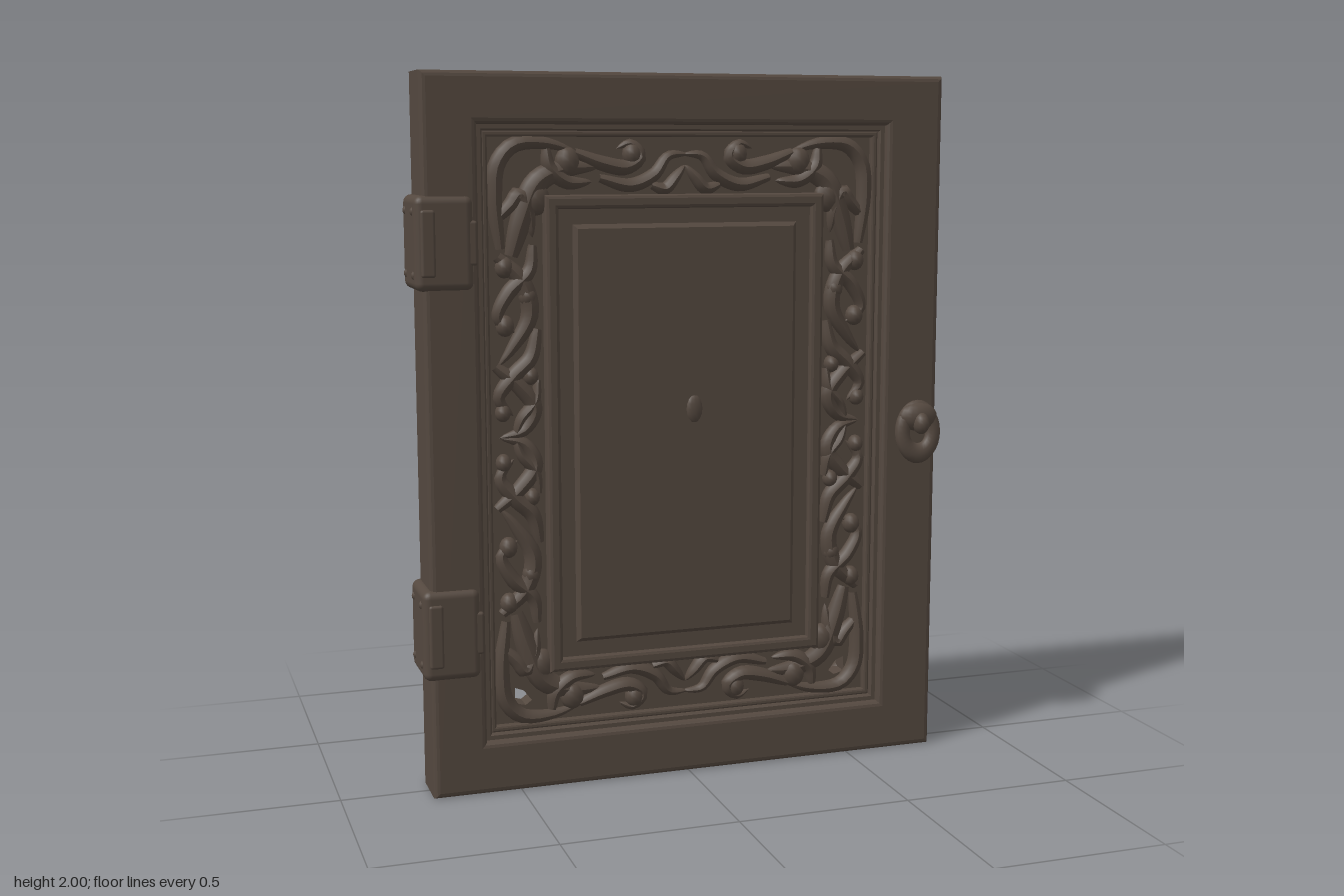
import * as THREE from 'three';
import { RoundedBoxGeometry } from 'three/addons/geometries/RoundedBoxGeometry.js';

const darkWood = new THREE.MeshStandardMaterial({ color: 0x54483f });
darkWood.name = 'dark wood';

const MID = 1.005; // height of the carved field's centre

function add(parent, name, geometry, x = 0, y = 0, z = 0) {
  const mesh = new THREE.Mesh(geometry, darkWood);
  mesh.name = name;
  mesh.position.set(x, y, z);
  parent.add(mesh);
  return mesh;
}

function trace(path, x0, y0, x1, y1) {
  path.moveTo(x0, y0);
  path.lineTo(x1, y0);
  path.lineTo(x1, y1);
  path.lineTo(x0, y1);
  path.closePath();
  return path;
}

// Rectangular slab or ring centred on z = 0, with bevelled edges
function slab(outer, holes, halfDepth, bevel, segments = 1) {
  const shape = trace(new THREE.Shape(), ...outer);
  shape.holes.push(...holes);
  const geo = new THREE.ExtrudeGeometry(shape, {
    depth: 2 * (halfDepth - bevel), bevelEnabled: bevel > 0, bevelThickness: bevel,
    bevelSize: bevel, bevelOffset: -bevel, bevelSegments: segments, curveSegments: 10,
  });
  return geo.translate(0, 0, -(halfDepth - bevel));
}

function ring(outer, inner, halfDepth, bevel, segments) {
  return slab(outer, [trace(new THREE.Path(), ...inner)], halfDepth, bevel, segments);
}

// Tapered, flattened strand that follows a curve in the xy plane
function strand(points, width, depth, rootTaper) {
  const curve = new THREE.CatmullRomCurve3(points.map(([x, y]) => new THREE.Vector3(x, y, 0)));
  const steps = 22, sides = 8;
  const geo = new THREE.TubeGeometry(curve, steps, width, sides, false);
  const pos = geo.attributes.position;
  const centre = new THREE.Vector3(), v = new THREE.Vector3();
  for (let i = 0; i <= steps; i++) {
    const t = i / steps;
    const k = Math.max(0.02, Math.pow(Math.sin(Math.PI * (rootTaper + t * (1 - rootTaper))), 0.6));
    curve.getPointAt(t, centre);
    for (let j = 0; j <= sides; j++) {
      const n = i * (sides + 1) + j;
      v.fromBufferAttribute(pos, n).sub(centre).multiplyScalar(k).add(centre);
      pos.setXYZ(n, v.x, v.y, v.z * depth / width);
    }
  }
  geo.computeVertexNormals();
  return geo;
}

// Carving for one quarter, measured from the centre: [half width, points]
const strands = [
  // corner leaves
  [0.024, [[0.53, 0.52], [0.545, 0.66], [0.535, 0.75], [0.49, 0.8], [0.4, 0.805], [0.31, 0.78]]],
  [0.034, [[0.5, 0.5], [0.47, 0.6], [0.425, 0.7], [0.35, 0.735], [0.25, 0.74]]],
  [0.022, [[0.54, 0.6], [0.5, 0.64], [0.475, 0.67], [0.45, 0.62], [0.44, 0.55]]],
  [0.022, [[0.4, 0.79], [0.39, 0.74], [0.34, 0.7], [0.27, 0.7]]],
  // scrolls of the top and bottom rails
  [0.022, [[0.32, 0.78], [0.24, 0.75], [0.17, 0.74], [0.13, 0.77], [0.16, 0.805], [0.2, 0.79]]],
  [0.02, [[0.25, 0.71], [0.16, 0.69], [0.09, 0.72], [0.05, 0.77], [-0.01, 0.775]]],
  [0.018, [[0.1, 0.69], [0.06, 0.68], [0.03, 0.71], [0, 0.745]]],
  // twining stems of the sides
  [0.026, [[0.54, 0.5], [0.47, 0.43], [0.45, 0.34], [0.5, 0.25], [0.54, 0.2]]],
  [0.022, [[0.44, 0.53], [0.45, 0.46], [0.51, 0.4], [0.54, 0.33], [0.49, 0.29]]],
  [0.024, [[0.43, 0.3], [0.45, 0.22], [0.5, 0.17], [0.54, 0.11], [0.5, 0.06]]],
  [0.024, [[0.55, 0.2], [0.48, 0.14], [0.44, 0.08], [0.47, 0.02], [0.54, 0]]],
  [0.016, [[0.43, 0.16], [0.44, 0.1], [0.48, 0.05], [0.5, -0.01]]],
];
// Rounded buds: [x, y, radius]
const buds = [
  [0.43, 0.655, 0.04], [0.34, 0.755, 0.035], [0.155, 0.775, 0.028], [0.52, 0.47, 0.026],
  [0.455, 0.39, 0.026], [0.52, 0.31, 0.026], [0.45, 0.17, 0.022], [0.53, 0.07, 0.022],
];

function carving() {
  const group = new THREE.Group();
  group.name = 'carvedScrollwork';
  for (const side of [1, -1]) for (const sx of [1, -1]) for (const sy of [1, -1]) {
    for (const [width, pts] of strands) {
      const mirrored = pts.map(([x, y]) => [sx * x, MID + sy * y]);
      add(group, 'carvedLeaf', strand(mirrored, width, 0.026, 0.12), 0, 0, side * 0.036);
    }
    for (const [x, y, r] of buds) {
      const bud = new THREE.SphereGeometry(r, 12, 8).scale(1, 1.15, 0.028 / r);
      add(group, 'carvedBud', bud, sx * x, MID + sy * y, side * 0.036);
    }
  }
  return group;
}

function hinge(y) {
  const group = new THREE.Group();
  group.name = 'hinge';
  group.position.set(-0.6925, y, 0);
  add(group, 'hingeWrap', new RoundedBoxGeometry(0.16, 0.255, 0.19, 3, 0.022));
  for (const side of [1, -1]) {
    add(group, 'hingePlate', new RoundedBoxGeometry(0.04, 0.18, 0.02, 2, 0.008), -0.045, 0, side * 0.091);
    add(group, 'hingeTab', new RoundedBoxGeometry(0.04, 0.12, 0.02, 2, 0.008), 0.07, 0, side * 0.082);
    for (const end of [1, -1]) {
      add(group, 'hingeRivet', new THREE.SphereGeometry(0.014, 10, 8), -0.072, end * 0.085, side * 0.055);
    }
  }
  return group;
}

function handle(side) {
  const group = new THREE.Group();
  group.name = 'ringHandle';
  group.position.set(0.69, 0.975, side * 0.125);
  const pull = add(group, 'handleRing', new THREE.TorusGeometry(0.049, 0.023, 10, 28).scale(1, 1.3, 0.85));
  pull.rotation.x = -side * 0.06;
  add(group, 'handleBoss', new THREE.SphereGeometry(1, 18, 12).scale(0.06, 0.042, 0.03), 0, 0.045, 0);
  add(group, 'handleNose', new THREE.SphereGeometry(1, 14, 10).scale(0.024, 0.032, 0.03), 0, 0.028, side * 0.022);
  const stem = new THREE.CylinderGeometry(0.025, 0.025, 0.06, 14).rotateX(Math.PI / 2);
  add(group, 'handleStem', stem, 0, 0.03, -side * 0.03);
  return group;
}

export function createModel() {
  const door = new THREE.Group();
  door.name = 'cabinetDoor';

  // Outer frame with stepped moulding round the opening
  add(door, 'outerFrame', ring([-0.75, 0, 0.77, 2], [-0.597, 0.15, 0.597, 1.86], 0.083, 0.016, 3));
  add(door, 'openingStep', ring([-0.605, 0.142, 0.605, 1.868], [-0.58, 0.167, 0.58, 1.843], 0.062, 0.005));
  add(door, 'openingBead', ring([-0.582, 0.165, 0.582, 1.845], [-0.564, 0.183, 0.564, 1.827], 0.05, 0.006, 2));

  // Carved field, pierced at the two lower corners
  const holes = [-0.485, 0.485].map((x) => {
    const s = Math.sign(x);
    const hole = new THREE.Path();
    hole.moveTo(x + s * 0.022, 0.24);
    hole.lineTo(x + s * 0.02, 0.285);
    hole.lineTo(x - s * 0.005, 0.275);
    hole.lineTo(x - s * 0.028, 0.245);
    hole.lineTo(x - s * 0.01, 0.232);
    hole.closePath();
    return hole;
  });
  add(door, 'carvedField', slab([-0.59, 0.157, 0.59, 1.853], holes, 0.03, 0));
  door.add(carving());

  // Inner moulding and raised centre panel
  add(door, 'innerMoulding', ring([-0.41, 0.33, 0.41, 1.67], [-0.372, 0.368, 0.372, 1.632], 0.07, 0.01, 2));
  add(door, 'innerStep', ring([-0.378, 0.362, 0.378, 1.638], [-0.32, 0.42, 0.32, 1.58], 0.05, 0));
  add(door, 'centrePanel', slab([-0.33, 0.41, 0.33, 1.59], [], 0.062, 0.012));
  add(door, 'panelStud', new THREE.SphereGeometry(1, 12, 8).scale(0.025, 0.04, 0.012), 0.02, 1.065, 0.06);

  // Hardware
  door.add(hinge(1.545), hinge(0.47), handle(1), handle(-1));
  return door;
}
